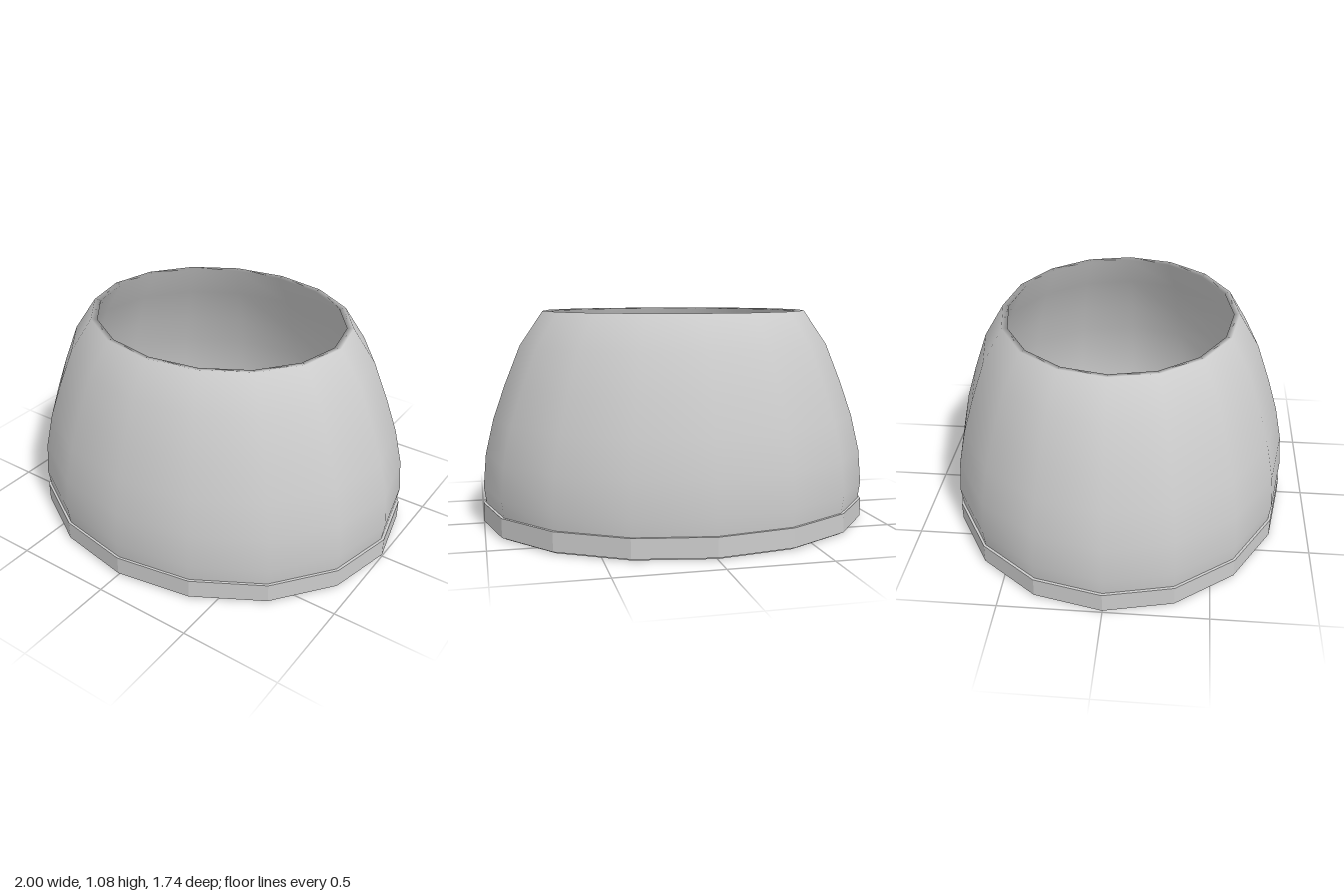
import * as THREE from 'three';

const SIDES = 16;
const DEPTH = 0.87; // oval: z radius relative to x radius

// Revolve a [radius, y] profile into an oval ring, smooth or faceted
function ovalLathe(profile, faceted) {
  const points = profile.map(([r, y]) => new THREE.Vector2(r, y));
  let geo = new THREE.LatheGeometry(points, SIDES);
  geo.scale(1, 1, DEPTH);
  if (faceted) {
    geo = geo.toNonIndexed();
    geo.computeVertexNormals();
  }
  return geo;
}

export function createModel() {
  const group = new THREE.Group();
  const grey = new THREE.MeshStandardMaterial({ color: 0xcccccc });
  grey.name = 'light grey';

  const add = (name, profile, faceted) => {
    const mesh = new THREE.Mesh(ovalLathe(profile, faceted), grey);
    mesh.name = name;
    group.add(mesh);
  };

  // Smooth hollow dome: up the outside, over the rim, down the inside
  const outer = [
    [0.98, 0], [0.985, 0.1], [0.998, 0.19], [0.983, 0.36], [0.94, 0.54],
    [0.88, 0.71], [0.8, 0.908], [0.682, 1.08],
  ];
  const inner = [
    [0.648, 1.075], [0.76, 0.9], [0.84, 0.7], [0.9, 0.53],
    [0.943, 0.355], [0.957, 0.19], [0.95, 0.1], [0.945, 0],
  ];
  add('shell', [...outer, ...inner], false);

  // Flat underside closing the shell wall
  add('shellBottomEdge', [[0.945, 0], [0.98, 0]], true);

  // Faceted band around the base
  add('baseBand', [[0.97, 0.01], [1, 0.01], [1, 0.105], [0.97, 0.105]], true);

  return group;
}
